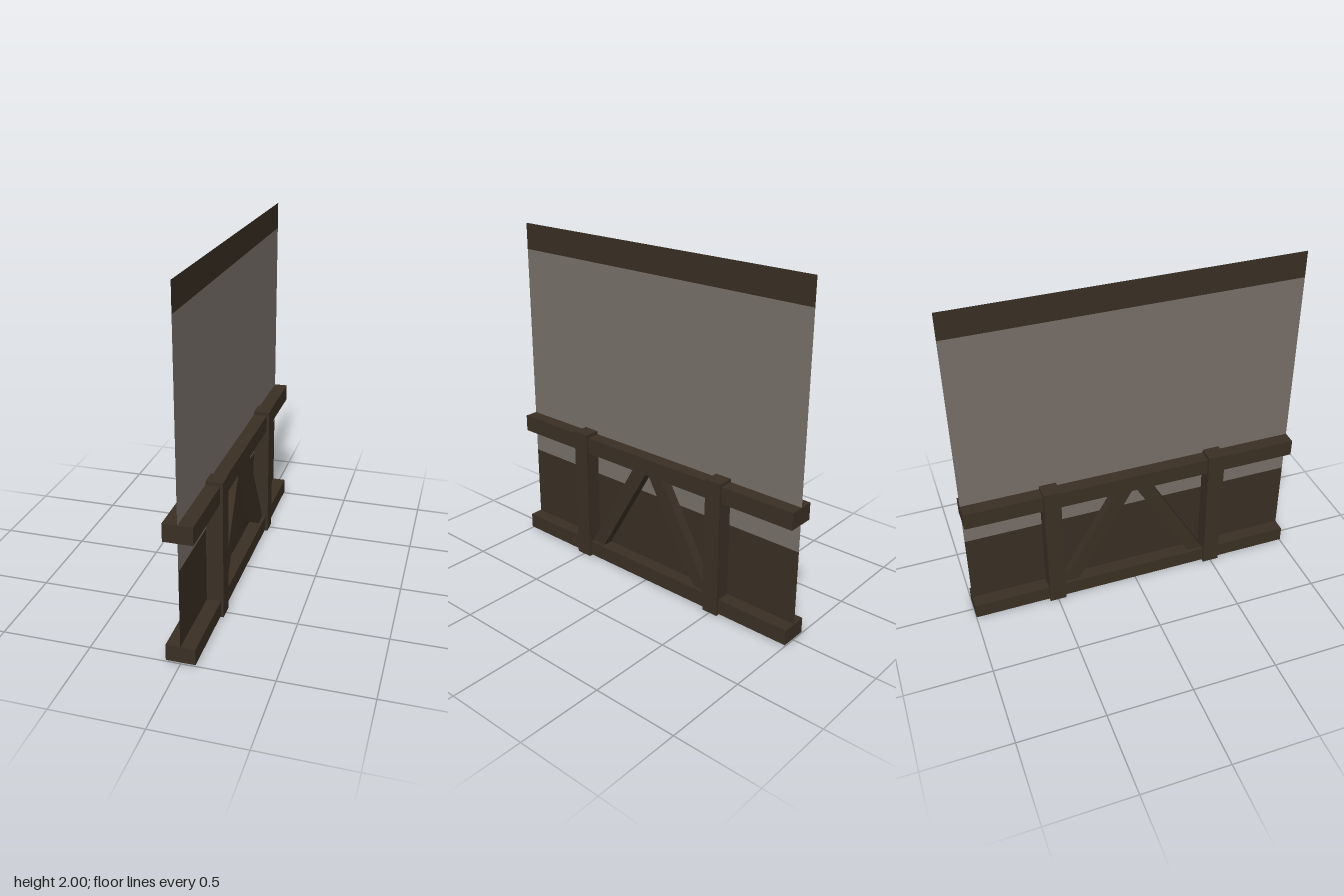
import * as THREE from 'three';

export function createModel() {
  const model = new THREE.Group();
  const wood = new THREE.MeshStandardMaterial({ name: 'dark wood', color: 0x3a2f24 });
  const panelWood = new THREE.MeshStandardMaterial({ name: 'panel wood', color: 0x392e23, side: THREE.DoubleSide });
  const plaster = new THREE.MeshStandardMaterial({ name: 'grey plaster', color: 0x787069, side: THREE.DoubleSide });

  const add = (name, geometry, material) => {
    const mesh = new THREE.Mesh(geometry, material);
    mesh.name = name;
    model.add(mesh);
    return mesh;
  };

  // Thin wall sheet, split into horizontal colour bands
  const band = (name, y0, y1, material) => {
    const mesh = add(name, new THREE.PlaneGeometry(2, y1 - y0), material);
    mesh.rotation.y = Math.PI / 2;
    mesh.position.y = (y0 + y1) / 2;
  };
  band('lowerWallBand', 0.01, 0.54, panelWood);
  band('plasterWall', 0.54, 1.845, plaster);
  band('upperWallBand', 1.845, 2, panelWood);

  // Horizontal rails
  const rail = (name, y0, y1) => {
    add(name, new THREE.BoxGeometry(0.16, y1 - y0, 2), wood).position.y = (y0 + y1) / 2;
  };
  rail('bottomRail', 0.008, 0.1);
  rail('topRail', 0.7, 0.8);

  // Posts and slanted braces, mirrored front to back
  for (const s of [1, -1]) {
    const end = s > 0 ? 'front' : 'back';
    add(end + 'Post', new THREE.BoxGeometry(0.19, 0.82, 0.1), wood).position.set(0, 0.41, s * 0.5);

    const outline = new THREE.Shape([[0.45, 0.1], [0.355, 0.1], [0, 0.71], [0.1, 0.71]]
      .map(([z, y]) => new THREE.Vector2(-s * z, y)));
    const brace = new THREE.ExtrudeGeometry(outline, { depth: 0.12, bevelEnabled: false });
    brace.translate(0, 0, -0.06).rotateY(Math.PI / 2);
    add(end + 'Brace', brace, wood);
  }
  return model;
}
